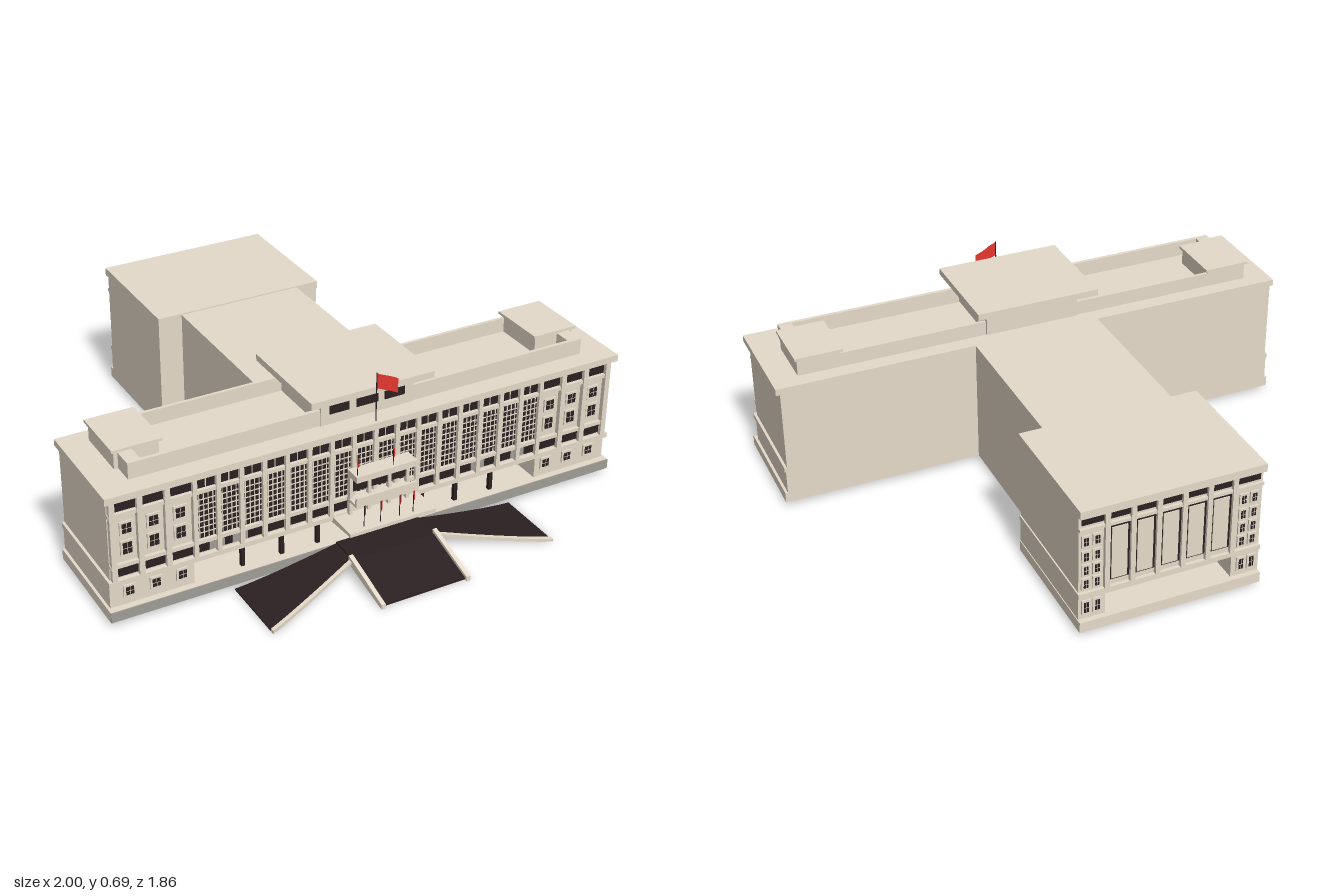
import * as THREE from 'three';

const mat = (name, color, side = THREE.FrontSide) => {
  const m = new THREE.MeshStandardMaterial({ color, side });
  m.name = name;
  return m;
};

export function createModel() {
  const stone = mat('stone', 0xe6dbca);
  const granite = mat('granite', 0xa09e97);
  const dark = mat('dark glass', 0x2b2021);
  const red = mat('flag red', 0xe6382f, THREE.DoubleSide);

  const model = new THREE.Group();
  model.name = 'building';
  let part = model;
  const section = (name) => {
    part = new THREE.Group();
    part.name = name;
    model.add(part);
  };
  const add = (name, geo, m) => {
    const mesh = new THREE.Mesh(geo, m);
    mesh.name = name;
    part.add(mesh);
  };
  // Box given by its limits on each axis
  const box = (name, m, x0, x1, y0, y1, z0, z1) => {
    const g = new THREE.BoxGeometry(x1 - x0, y1 - y0, z1 - z0);
    g.translate((x0 + x1) / 2, (y0 + y1) / 2, (z0 + z1) / 2);
    add(name, g, m);
  };
  // Box whose vertices (u, v, w in 0..1) are moved by a rule
  const warp = (name, m, rule, segments = 1) => {
    const g = new THREE.BoxGeometry(1, 1, 1, segments, 1, 1);
    const p = g.attributes.position;
    for (let i = 0; i < p.count; i++) {
      p.setXYZ(i, ...rule(p.getX(i) + 0.5, p.getY(i) + 0.5, p.getZ(i) + 0.5));
    }
    g.computeVertexNormals();
    add(name, g, m);
  };

  // Front wing: plinth, recessed ground floor, upper floors, cornice
  section('frontWing');
  box('plinth', stone, -1, 1, 0.02, 0.06, 0.18, 0.597);
  box('plinthFacing', granite, -1, 1, 0.021, 0.059, 0.597, 0.6);
  box('groundCore', stone, -0.99, 0.99, 0.06, 0.15, 0.18, 0.42);
  for (const s of [-1, 1]) {
    const a = s * 0.685, b = s * 0.99;
    box('groundEnd', stone, Math.min(a, b), Math.max(a, b), 0.06, 0.15, 0.42, 0.572);
  }
  box('groundGlass', dark, -0.684, 0.684, 0.06, 0.15, 0.42, 0.424);
  box('groundPanel', granite, -0.684, -0.565, 0.06, 0.15, 0.424, 0.428);
  box('groundPanel', granite, 0.17, 0.27, 0.06, 0.15, 0.424, 0.428);
  for (const x of [-0.5, -0.35, -0.21, 0.21, 0.35, 0.5]) {
    box('groundColumn', dark, x - 0.007, x + 0.007, 0.06, 0.15, 0.55, 0.565);
  }
  box('wall', stone, -0.985, 0.985, 0.15, 0.475, 0.18, 0.57);
  box('floorLedge', stone, -0.995, 0.995, 0.15, 0.168, 0.18, 0.587);
  box('cornice', stone, -1, 1, 0.475, 0.5, 0.18, 0.6);

  // Front facade: dark bands, lattice, ledges and piers
  section('frontFacade');
  box('topWindows', dark, -0.97, 0.97, 0.425, 0.46, 0.57, 0.574);
  box('lowerWindows', dark, -0.97, 0.97, 0.175, 0.208, 0.57, 0.574);
  box('latticeGlass', dark, -0.68, 0.68, 0.23, 0.402, 0.57, 0.574);
  for (const y of [0.415, 0.22]) {
    box('ledge', stone, -0.985, 0.985, y - 0.007, y + 0.007, 0.57, 0.583);
  }
  const bays = 16, pitch = 1.36 / bays;
  for (let i = 0; i <= bays; i++) {
    const x = -0.68 + i * pitch;
    box('pier', stone, x - 0.008, x + 0.008, 0.168, 0.475, 0.57, 0.588);
    if (i === bays) break;
    for (let k = 1; k <= 4; k++) {
      const bx = x + (k * pitch) / 5;
      box('latticeBar', stone, bx - 0.0016, bx + 0.0016, 0.23, 0.402, 0.574, 0.577);
    }
    box('topMullion', stone, x + pitch / 2 - 0.0015, x + pitch / 2 + 0.0015, 0.425, 0.46, 0.574, 0.577);
  }
  for (let k = 1; k < 8; k++) {
    const y = 0.23 + (k * 0.172) / 8;
    box('latticeRail', stone, -0.68, 0.68, y - 0.0016, y + 0.0016, 0.574, 0.5765);
  }
  for (const x of [-0.6, -0.515, 0.43, 0.6]) {
    box('lowerPanel', granite, x - 0.028, x + 0.028, 0.177, 0.206, 0.574, 0.577);
  }

  // Small framed window with cross bars on a front (dir 1) or rear (dir -1) wall
  const smallWindow = (x, y, z, w, h, dir) => {
    const plate = (name, m, a, b, d0, d1) =>
      box(name, m, x - a, x + a, y - b, y + b, Math.min(z + dir * d0, z + dir * d1), Math.max(z + dir * d0, z + dir * d1));
    plate('windowFrame', stone, w / 2 + 0.008, h / 2 + 0.008, 0, 0.006);
    plate('windowGlass', dark, w / 2, h / 2, 0.006, 0.008);
    plate('windowBar', stone, 0.0008, h / 2, 0.008, 0.009);
    plate('windowRail', stone, w / 2, 0.0008, 0.008, 0.0088);
  };
  for (const s of [-1, 1]) {
    for (let i = 0; i < 3; i++) {
      const x = s * (0.73 + i * 0.095);
      smallWindow(x, 0.356, 0.57, 0.032, 0.036, 1);
      smallWindow(x, 0.28, 0.57, 0.032, 0.042, 1);
      smallWindow(x, 0.113, 0.572, 0.028, 0.03, 1);
      const px = s * (0.778 + i * 0.097);
      box('endPier', stone, px - 0.01, px + 0.01, 0.168, 0.475, 0.57, 0.588);
    }
  }

  // Roof parapets, end towers and central penthouse
  section('roof');
  for (const s of [-1, 1]) {
    const span = (name, a, b, y0, y1, z0, z1) =>
      box(name, stone, Math.min(s * a, s * b), Math.max(s * a, s * b), y0, y1, z0, z1);
    span('frontParapet', 0.18, 0.885, 0.5, 0.56, 0.512, 0.526);
    span('backParapet', 0.18, 0.75, 0.5, 0.555, 0.24, 0.252);
    span('sideParapet', 0.835, 0.885, 0.5, 0.559, 0.44, 0.512);
    span('endTower', 0.74, 0.9, 0.5, 0.565, 0.24, 0.448);
    span('endTowerRoof', 0.73, 0.91, 0.565, 0.575, 0.23, 0.457);
  }
  box('penthouse', stone, -0.185, 0.178, 0.5, 0.6, 0.235, 0.53);
  box('penthouseRoof', stone, -0.245, 0.232, 0.6, 0.625, 0.18, 0.575);
  for (const [a, b] of [[-0.152, -0.077], [-0.048, 0.036], [0.062, 0.14]]) {
    box('penthouseWindow', dark, a, b, 0.54, 0.598, 0.53, 0.535);
  }

  // Hall and rear block
  section('rearWing');
  box('hall', stone, -0.245, 0.245, 0.02, 0.5, -0.43, 0.18);
  box('blockPlinth', stone, -0.34, 0.335, 0.02, 0.06, -0.93, -0.43);
  box('blockGround', stone, -0.34, 0.332, 0.06, 0.15, -0.82, -0.43);
  box('blockGroundEnd', stone, -0.34, -0.235, 0.06, 0.15, -0.91, -0.82);
  box('blockGroundEnd', stone, 0.235, 0.332, 0.06, 0.15, -0.91, -0.82);
  box('blockWall', stone, -0.34, 0.33, 0.15, 0.475, -0.905, -0.43);
  box('blockLedge', stone, -0.34, 0.335, 0.15, 0.168, -0.918, -0.43);
  box('blockCornice', stone, -0.34, 0.335, 0.475, 0.505, -0.93, -0.43);

  // Rear facade: framed panels in the middle, small windows at the ends
  section('rearFacade');
  box('rearTopWindows', dark, -0.33, 0.32, 0.435, 0.46, -0.909, -0.905);
  box('rearGlass', dark, -0.232, 0.232, 0.19, 0.41, -0.909, -0.905);
  box('rearLedge', stone, -0.34, 0.33, 0.412, 0.424, -0.916, -0.905);
  for (let i = 0; i <= 5; i++) {
    const x = -0.232 + i * 0.0928;
    box('rearPier', stone, x - 0.009, x + 0.009, 0.168, 0.475, -0.92, -0.905);
    if (i < 5) box('rearPanel', stone, x + 0.018, x + 0.075, 0.195, 0.4, -0.912, -0.908);
  }
  for (const x of [-0.31, -0.27, 0.265, 0.305]) {
    for (const y of [0.2, 0.255, 0.31, 0.37]) smallWindow(x, y, -0.905, 0.016, 0.03, -1);
    smallWindow(x, 0.108, -0.91, 0.016, 0.04, -1);
  }

  // Entrance: canopy, balconies and windows
  section('entrance');
  warp('canopy', stone, (u, v, w) => [-0.165 + u * 0.34, v ? 0.163 : 0.14 + w * 0.01, 0.572 + w * 0.135]);
  box('entranceWindows', dark, -0.1, 0.12, 0.25, 0.32, 0.588, 0.595);
  for (const x of [-0.103, -0.03, 0.05, 0.123]) {
    box('entrancePier', stone, x - 0.006, x + 0.006, 0.163, 0.34, 0.585, 0.602);
  }
  box('lowerBalcony', stone, -0.11, 0.13, 0.217, 0.228, 0.585, 0.65);
  box('lowerBalconyRail', stone, -0.11, 0.13, 0.228, 0.255, 0.64, 0.65);
  box('upperBalcony', stone, -0.11, 0.13, 0.316, 0.34, 0.585, 0.648);

  // Flags: a gently waving plane turned about its pole
  section('flags');
  const flag = (name, x, y, z, w, h, drop, turn) => {
    const g = new THREE.PlaneGeometry(w, h, 6, 1);
    const p = g.attributes.position;
    for (let i = 0; i < p.count; i++) {
      const u = p.getX(i) / w + 0.5;
      p.setXYZ(i, u * w, p.getY(i) - drop * u, 0.03 * w * Math.sin(u * 7));
    }
    g.rotateY(turn);
    g.translate(x, y, z);
    g.computeVertexNormals();
    add(name, g, red);
  };
  const pole = (x, y0, y1, z, r) => {
    const g = new THREE.CylinderGeometry(r, r, y1 - y0, 6);
    g.translate(x, (y0 + y1) / 2, z);
    add('flagPole', g, dark);
  };
  pole(-0.003, 0.5, 0.685, 0.585, 0.002);
  flag('mainFlag', -0.003, 0.655, 0.585, 0.083, 0.056, 0.04, 0);
  for (const x of [-0.1, 0.04]) {
    pole(x, 0.34, 0.405, 0.635, 0.0015);
    flag('upperFlag', x, 0.385, 0.635, 0.022, 0.036, 0.006, 0.8);
  }
  for (const x of [-0.1, -0.035, 0.04, 0.095]) {
    pole(x, 0.163, 0.245, 0.685, 0.0015);
    flag('lowerFlag', x, 0.223, 0.685, 0.022, 0.04, 0.006, 0.8);
  }

  // Front ramp with curbs, and curved carriage ramps
  section('approach');
  box('landing', dark, -0.16, 0.17, 0.04, 0.068, 0.6, 0.72);
  warp('frontRamp', dark, (u, v, w) => [
    -0.158 + u * 0.324, 0.068 - 0.058 * w - (1 - v) * (0.02 - 0.012 * w), 0.72 + w * 0.2]);
  for (const x of [-0.165, 0.17]) {
    warp('rampSideCurb', stone, (u, v, w) => [
      x + (u - 0.5) * 0.016, Math.max(0, 0.05 - w * 0.05) + v * (0.033 - 0.015 * w), 0.71 + w * 0.22]);
  }
  for (const s of [-1, 1]) {
    const rampX = (u) => 0.005 + s * 0.16 + (s > 0 ? u : u - 1) * 0.395;
    const out = (u) => (s > 0 ? u : 1 - u);
    const height = (t) => 0.058 * Math.pow(1 - t, 1.3);
    warp('carriageRamp', dark, (u, v, w) => {
      const t = out(u);
      return [rampX(u), height(t) + v * 0.005, 0.6 + w * (0.105 + 0.155 * t)];
    }, 10);
    warp('carriageRampCurb', stone, (u, v, w) => {
      const t = out(u);
      return [rampX(u), height(t) + v * 0.012, 0.705 + 0.155 * t + w * 0.016];
    }, 10);
  }
  return model;
}
